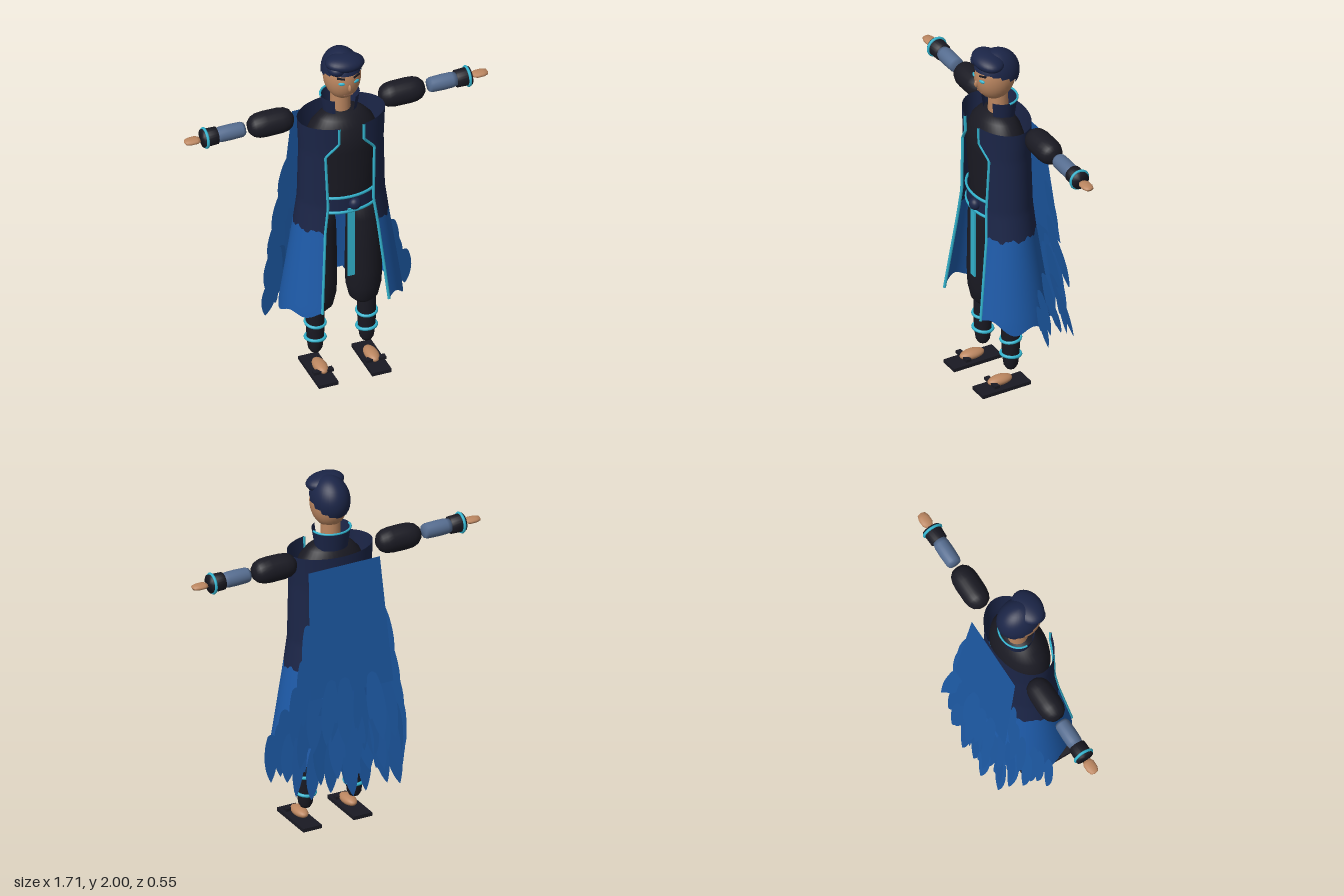
import * as THREE from 'three';

const mat = (name, color, side = THREE.FrontSide) => {
  const m = new THREE.MeshStandardMaterial({ color, side });
  m.name = name;
  return m;
};

// linear lookup in rows of [y, ...values], y descending
function lookup(rows, y) {
  let i = 0;
  while (i < rows.length - 2 && y < rows[i + 1][0]) i++;
  const a = rows[i], b = rows[i + 1];
  const t = THREE.MathUtils.clamp((a[0] - y) / (a[0] - b[0]), 0, 1);
  return a.slice(1).map((v, k) => v + (b[k + 1] - v) * t);
}

// surface from fn(u, v) -> [x, y, z]
function grid(nu, nv, fn) {
  const pos = [], idx = [];
  for (let j = 0; j <= nv; j++) for (let i = 0; i <= nu; i++) pos.push(...fn(i / nu, j / nv));
  for (let j = 0; j < nv; j++) for (let i = 0; i < nu; i++) {
    const a = j * (nu + 1) + i, b = a + nu + 1;
    idx.push(a, b, a + 1, a + 1, b, b + 1);
  }
  const g = new THREE.BufferGeometry();
  g.setAttribute('position', new THREE.Float32BufferAttribute(pos, 3));
  g.setIndex(idx);
  g.computeVertexNormals();
  return g;
}

const lathe = (pts, n = 28) => new THREE.LatheGeometry(pts.map(([r, y]) => new THREE.Vector2(r, y)), n);

// coat: y, half width, half depth, centre z, x of the front edge
const COAT = [
  [1.6, 0.241, 0.158, 0.068, 0.07], [1.5, 0.237, 0.156, 0.068, 0.07], [1.42, 0.233, 0.156, 0.068, 0.138],
  [1.1, 0.24, 0.165, 0.066, 0.128], [0.95, 0.26, 0.182, 0.066, 0.148], [0.48, 0.328, 0.255, 0.066, 0.188],
  [0.38, 0.34, 0.265, 0.064, 0.195],
];
function coatPoint(u, y) {
  const [rx, rz, cz, e] = lookup(COAT, y);
  const a0 = Math.asin(e / rx), a = a0 + u * (2 * Math.PI - 2 * a0);
  return [rx * Math.sin(a), y, cz + rz * Math.cos(a)];
}
const seam = (u) => 0.95 + 0.01 * Math.sin(u * 61) + 0.007 * Math.sin(u * 143);
const hem = (u) => 0.425 + 0.055 * Math.pow(Math.abs(Math.cos(Math.PI * u)), 20) + 0.022 * Math.sin(u * 38);

export function createModel() {
  const root = new THREE.Group();
  const skin = mat('skin', 0xbb8660), navy = mat('navy', 0x1b2547, THREE.DoubleSide);
  const blue = mat('coatBlue', 0x1d5aa8, THREE.DoubleSide), capeBlue = mat('capeBlue', 0x1c58a2, THREE.DoubleSide);
  const black = mat('black', 0x1a1a23), cyan = mat('cyanTrim', 0x32b4cf), slate = mat('slate', 0x566d90);
  const lip = mat('lip', 0x966850);

  const add = (name, geo, m, p = [0, 0, 0], s = [1, 1, 1], parent = root) => {
    const mesh = new THREE.Mesh(geo, m);
    mesh.name = name;
    mesh.position.set(...p);
    mesh.scale.set(...s);
    parent.add(mesh);
    return mesh;
  };
  const ball = new THREE.SphereGeometry(1, 28, 20);
  const ring = (r, t, arc = Math.PI * 2) => new THREE.TorusGeometry(r, t, 8, 36, arc).rotateX(Math.PI / 2);

  // head and face
  add('head', ball, skin, [0, 1.852, 0.08], [0.099, 0.14, 0.113]);
  add('neck', new THREE.CylinderGeometry(0.052, 0.055, 0.14, 20), skin, [0, 1.69, 0.06]);
  add('nose', ball, skin, [0, 1.826, 0.19], [0.009, 0.022, 0.014]);
  add('mouth', new THREE.BoxGeometry(0.05, 0.006, 0.008), lip, [0, 1.773, 0.17]);
  for (const s of [1, -1]) {
    add('eye', ball, cyan, [s * 0.042, 1.857, 0.182], [0.018, 0.009, 0.007]).rotation.y = s * 0.4;
    const brow = add('eyebrow', new THREE.BoxGeometry(0.042, 0.009, 0.009), black, [s * 0.044, 1.889, 0.178]);
    brow.rotation.set(0, s * 0.4, s * 0.15);
  }

  // hair: cap stepping down toward the nape, with a swept fringe
  const hair = grid(96, 14, (u, v) => {
    const a = u * 2 * Math.PI, step = Math.round(u * 16) / 16;
    const back = (1 - Math.cos(step * 2 * Math.PI)) / 2;
    const th = v * (1.3 + 0.8 * Math.pow(back, 1.6));
    return [0.104 * Math.sin(th) * Math.sin(a), 1.868 + 0.13 * Math.cos(th), 0.07 + 0.127 * Math.sin(th) * Math.cos(a)];
  });
  add('hair', hair, navy);
  add('hairFringe', ball, navy, [0, 1.95, 0.122], [0.107, 0.045, 0.079]).rotation.z = -0.08;
  add('hairLock', ball, navy, [-0.055, 1.93, 0.14], [0.046, 0.034, 0.05]);

  // torso, belt and sash
  const torso = lathe([[0.15, 1.03], [0.19, 1.05], [0.185, 1.2], [0.205, 1.42], [0.198, 1.49], [0.17, 1.555], [0.13, 1.6], [0.09, 1.625], [0, 1.64]], 36);
  add('torso', torso, black, [0, 0, 0.073], [1, 1, 0.68]);
  add('belt', new THREE.CylinderGeometry(0.198, 0.198, 0.1, 36, 1, true), navy, [0, 1.098, 0.074], [1, 1, 0.68]);
  for (const y of [1.145, 1.052]) add('beltTrim', ring(0.2, 0.009), cyan, [0, y, 0.074], [1, 1, 0.69]);
  add('beltKnot', ball, navy, [0.02, 1.097, 0.213], [0.034, 0.034, 0.03]);
  add('sash', new THREE.BoxGeometry(0.04, 0.43, 0.009), cyan, [0, 0.855, 0.211]);

  // coat: dark upper body, bright skirt, trimmed front edges
  add('coatUpper', grid(72, 30, (u, v) => coatPoint(u, 1.6 + (seam(u) - 1.6) * v)), navy);
  add('coatSkirt', grid(72, 20, (u, v) => coatPoint(u, seam(u) + (hem(u) - seam(u)) * v)), blue);
  for (const u of [0, 1]) {
    const pts = COAT.slice(0, -1).map((r) => new THREE.Vector3(...coatPoint(u, r[0])));
    const path = new THREE.CatmullRomCurve3(pts, false, 'catmullrom', 0);
    add('coatTrim', new THREE.TubeGeometry(path, 60, 0.008, 6), cyan);
  }
  add('collar', new THREE.CylinderGeometry(0.107, 0.09, 0.11, 32, 1, true, 0.58, 2 * Math.PI - 1.16), navy, [0, 1.66, 0.052], [1, 1, 0.86]);
  add('collarTrim', ring(0.105, 0.006, Math.PI).rotateY(Math.PI), cyan, [0, 1.71, 0.052], [1, 1, 0.87]);

  // arms
  for (const s of [1, -1]) {
    const arm = new THREE.Group();
    arm.name = s > 0 ? 'leftArm' : 'rightArm';
    arm.position.y = 1.58;
    arm.rotation.y = s > 0 ? 0 : Math.PI;
    root.add(arm);
    const along = (name, pts, m, sy = 1) => {
      add(name, lathe(pts, 24).rotateZ(-Math.PI / 2), m, [0, 0, 0], [1, sy, 1], arm);
    };
    along('sleeve', [[0, 0.244], [0.028, 0.247], [0.05, 0.262], [0.063, 0.285], [0.069, 0.32], [0.07, 0.4], [0.067, 0.44], [0.056, 0.47], [0.036, 0.49], [0, 0.496]], black);
    along('forearm', [[0, 0.518], [0.034, 0.52], [0.041, 0.535], [0.043, 0.6], [0.042, 0.65], [0.036, 0.675], [0, 0.69]], slate);
    along('cuff', [[0, 0.675], [0.047, 0.675], [0.05, 0.755], [0, 0.755]], black);
    along('hand', [[0, 0.768], [0.022, 0.772], [0.031, 0.79], [0.031, 0.825], [0.022, 0.85], [0, 0.857]], skin, 0.5);
    add('cuffTrim', new THREE.TorusGeometry(0.051, 0.008, 8, 28).rotateY(Math.PI / 2), cyan, [0.74, 0, 0], [1, 1, 1], arm);
  }

  // legs, feet and sandals
  for (const s of [1, -1]) {
    const leg = new THREE.Group();
    leg.name = s > 0 ? 'leftLeg' : 'rightLeg';
    leg.position.set(s * 0.145, 0, 0.068);
    root.add(leg);
    const part = (name, geo, m, p, sc) => add(name, geo, m, p, sc, leg);
    part('trouserLeg', lathe([[0, 0.365], [0.05, 0.37], [0.078, 0.4], [0.096, 0.48], [0.1, 0.58], [0.098, 0.75], [0.094, 0.92], [0.082, 0.99], [0.05, 1.03], [0, 1.045]]),
      black, [s * -0.018, 0, 0], [1, 1, 0.92]);
    part('shin', lathe([[0, 0.1], [0.026, 0.104], [0.038, 0.125], [0.044, 0.17], [0.05, 0.26], [0.05, 0.4]]), black);
    for (const [y, tilt] of [[0.285, 0.1], [0.19, -0.1]])
      part('shinBand', ring(0.052, 0.009), cyan, [0, y, 0]).rotation.set(tilt, 0, s * 0.05);
    part('sandalSole', new THREE.BoxGeometry(0.11, 0.02, 0.29), black, [s * 0.005, 0.01, 0.057]);
    part('foot', ball, skin, [0, 0.046, 0.066], [0.037, 0.027, 0.072]);
    part('sandalStrap', new THREE.BoxGeometry(0.112, 0.016, 0.03), black, [s * 0.003, 0.045, 0.115]);
  }

  // cape: a plain back panel over rows of leaf-shaped feathers
  const capeZ = (y) => -0.09 - (1.55 - y) * 0.12;
  add('capePanel', grid(8, 12, (u, v) => {
    const y = 1.55 - 0.7 * v, x = (u * 2 - 1) * (0.212 + 0.035 * v);
    return [x, y, capeZ(y)];
  }), capeBlue);
  const leaf = new THREE.Shape();
  leaf.moveTo(-0.25, 0);
  leaf.quadraticCurveTo(-0.65, -0.4, -0.5, -0.65);
  leaf.lineTo(-0.36, -0.64);
  leaf.quadraticCurveTo(-0.25, -0.86, 0.05, -1);
  leaf.quadraticCurveTo(0.45, -0.8, 0.5, -0.5);
  leaf.quadraticCurveTo(0.5, -0.2, 0.25, 0);
  leaf.quadraticCurveTo(0, 0.08, -0.25, 0);
  const leafGeo = new THREE.ShapeGeometry(leaf, 6);
  let seed = 7;
  const rnd = () => (seed = (seed * 16807) % 2147483647) / 2147483647;
  const feather = (x, y, z, len, w, fan, tilt, turn) => {
    const f = add('capeFeather', leafGeo, capeBlue, [x, y, z], [x < 0 ? -w : w, len, 1]);
    f.rotation.set(tilt, turn, fan);
  };
  // each row: base y, count, half width, length, forward wrap at the ends
  for (const [y, n, half, len, wrap] of [
    [0.9, 6, 0.2, 0.36, 0.02], [0.8, 7, 0.235, 0.36, 0.05], [0.7, 8, 0.265, 0.34, 0.09], [0.6, 8, 0.3, 0.29, 0.15],
  ]) for (let i = 0; i < n; i++) {
    const u = (i / (n - 1)) * 2 - 1, by = y + (rnd() - 0.5) * 0.06;
    feather(u * half, by, capeZ(by) - 0.008 * rnd() + wrap * u ** 4, len * (0.85 + 0.3 * rnd()), 0.085 + 0.025 * rnd(),
      u * 0.14 + (rnd() - 0.5) * 0.16, 0.08 + 0.16 * rnd(), (rnd() - 0.5) * 0.16);
  }
  // side feathers stepping out down each edge
  for (const s of [1, -1]) for (const [x, y, z, len, w] of [
    [0.225, 1.24, -0.1, 0.32, 0.07], [0.25, 1.04, -0.1, 0.35, 0.085], [0.282, 0.88, -0.08, 0.34, 0.09],
    [0.322, 0.74, -0.03, 0.33, 0.095], [0.37, 0.58, 0.03, 0.25, 0.085], [0.33, 0.65, 0, 0.28, 0.095],
  ]) feather(s * x, y, z, len, w, s * 0.08, 0.17, s * 0.06);

  return root;
}
